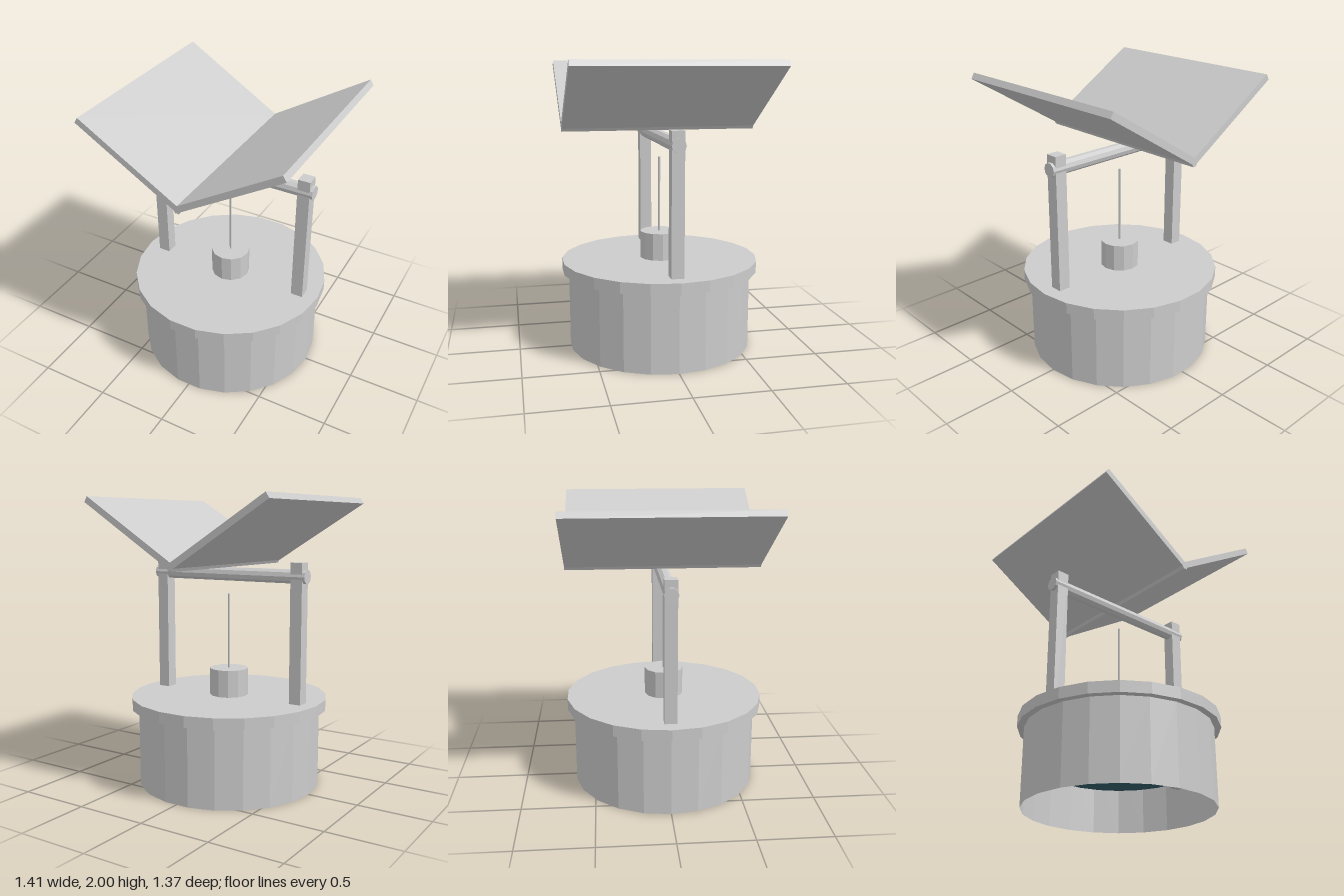
import * as THREE from 'three';

export function createModel() {
  const root = new THREE.Group();
  root.name = 'well';

  const stone = new THREE.MeshStandardMaterial({ color: 0xcccccc, flatShading: true });
  stone.name = 'light grey';
  const shell = new THREE.MeshStandardMaterial({ color: 0xcccccc, flatShading: true, side: THREE.DoubleSide });
  shell.name = 'light grey shell';
  const teal = new THREE.MeshStandardMaterial({ color: 0x33606a, flatShading: true });
  teal.name = 'dark teal';

  const add = (name, geometry, material, x = 0, y = 0, z = 0) => {
    const mesh = new THREE.Mesh(geometry, material);
    mesh.name = name;
    mesh.position.set(x, y, z);
    root.add(mesh);
    return mesh;
  };
  // Upright prism between two heights, with a corner on the x axis
  const drum = (name, r, y0, y1, sides, material, open = false) =>
    add(name, new THREE.CylinderGeometry(r, r, y1 - y0, sides, 1, open).rotateY(Math.PI / 2),
      material, 0, (y0 + y1) / 2);

  // Base: open-bottomed wall, overhanging lid, water inside
  drum('wall', 0.643, 0, 0.55, 22, shell, true);
  drum('lid', 0.69, 0.545, 0.623, 22, stone);
  drum('water', 0.515, 0.28, 0.29, 22, teal);

  // Bucket and rope
  drum('bucket', 0.135, 0.58, 0.813, 12, stone);
  drum('rope', 0.008, 0.8, 1.34, 6, stone);

  // Axle between the posts
  add('axle', new THREE.CylinderGeometry(0.048, 0.048, 1.22, 10).rotateZ(Math.PI / 2), stone, 0, 1.477, 0);

  // Posts and the two upswept roof slabs
  const angle = 0.55, length = 0.837, thickness = 0.044;
  const c = Math.cos(angle), s = Math.sin(angle);
  for (const side of [1, -1]) {
    const label = side > 0 ? 'left' : 'right';
    add(label + 'Post', new THREE.BoxGeometry(0.085, 1.31, 0.085), stone, side * 0.548, 0.915, 0);
    const x = 0.68 - c * length / 2 + s * thickness / 2;
    const y = 2 - s * length / 2 - c * thickness / 2;
    const slab = add(label + 'Roof', new THREE.BoxGeometry(length, thickness, 1.35), stone, side * x, y, 0);
    slab.rotation.z = side * angle;
  }
  return root;
}
